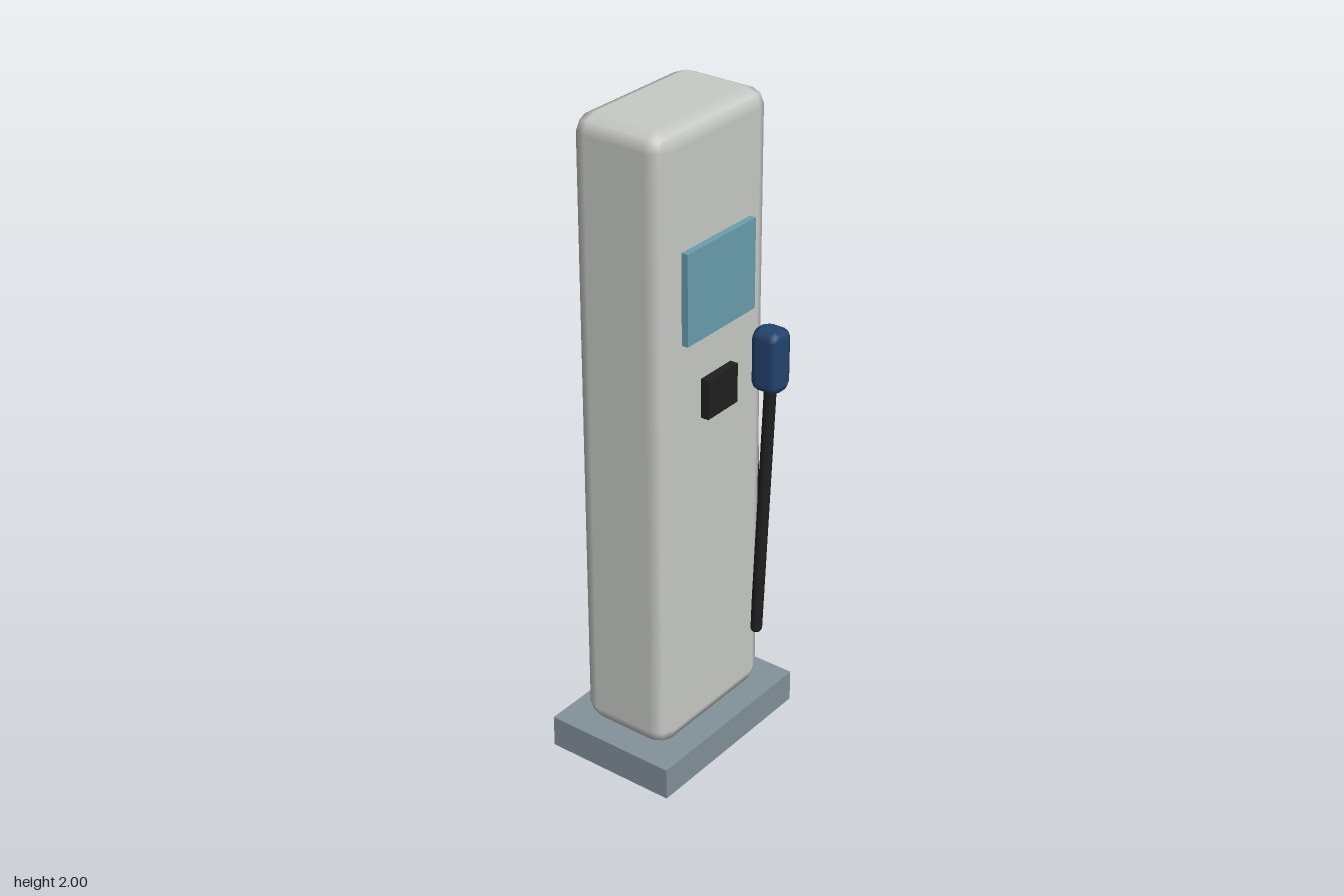
import * as THREE from 'three';
import { RoundedBoxGeometry } from 'three/addons/geometries/RoundedBoxGeometry.js';

const material = (name, color) => {
  const m = new THREE.MeshStandardMaterial({ color });
  m.name = name;
  return m;
};

export function createModel() {
  const casing = material('light grey casing', 0xc9cbc7);
  const plinth = material('slate grey', 0x83929a);
  const glass = material('teal screen', 0x69a0ae);
  const black = material('black rubber', 0x202020);
  const blue = material('dark blue', 0x22446e);

  const model = new THREE.Group();
  model.name = 'chargingStation';

  // Box between two corners, with edges rounded in two steps if a radius is given
  const box = (name, mat, [x0, y0, z0], [x1, y1, z1], radius = 0) => {
    const size = [x1 - x0, y1 - y0, z1 - z0];
    const geometry = radius
      ? new RoundedBoxGeometry(...size, 1, radius)
      : new THREE.BoxGeometry(...size);
    const mesh = new THREE.Mesh(geometry, mat);
    mesh.name = name;
    mesh.position.set((x0 + x1) / 2, (y0 + y1) / 2, (z0 + z1) / 2);
    model.add(mesh);
  };

  box('base', plinth, [-0.37, 0, -0.228], [0.244, 0.1, 0.195]);
  box('cabinet', casing, [-0.305, 0.095, -0.167], [0.179, 2, 0.134], 0.053);
  box('screen', glass, [-0.215, 1.385, 0.12], [0.086, 1.655, 0.154]);
  box('cardReader', black, [-0.13, 1.13, 0.12], [0.004, 1.25, 0.159]);
  box('plugHandle', blue, [0.089, 1.12, 0.131], [0.174, 1.314, 0.227], 0.028);

  // Cable: straight runs with a round joint at each bend
  const cable = new THREE.Group();
  cable.name = 'cable';
  const r = 0.018;
  const points = [
    [0.131, 1.15, 0.181], [0.131, 0.307, 0.145], [0.25, 0.224, 0.035],
    [0.348, 0.368, -0.017], [0.312, 0.975, -0.017], [0.18, 1.277, -0.017],
  ].map((p) => new THREE.Vector3(...p));
  const up = new THREE.Vector3(0, 1, 0);
  for (let i = 1; i < points.length; i++) {
    const run = points[i].clone().sub(points[i - 1]);
    const part = new THREE.Mesh(new THREE.CylinderGeometry(r, r, run.length(), 12), black);
    part.name = 'cableRun';
    part.position.copy(points[i]).addScaledVector(run, -0.5);
    part.quaternion.setFromUnitVectors(up, run.normalize());
    cable.add(part);
    if (i < points.length - 1) {
      const joint = new THREE.Mesh(new THREE.SphereGeometry(r, 12, 8), black);
      joint.name = 'cableBend';
      joint.position.copy(points[i]);
      cable.add(joint);
    }
  }
  model.add(cable);

  return model;
}
